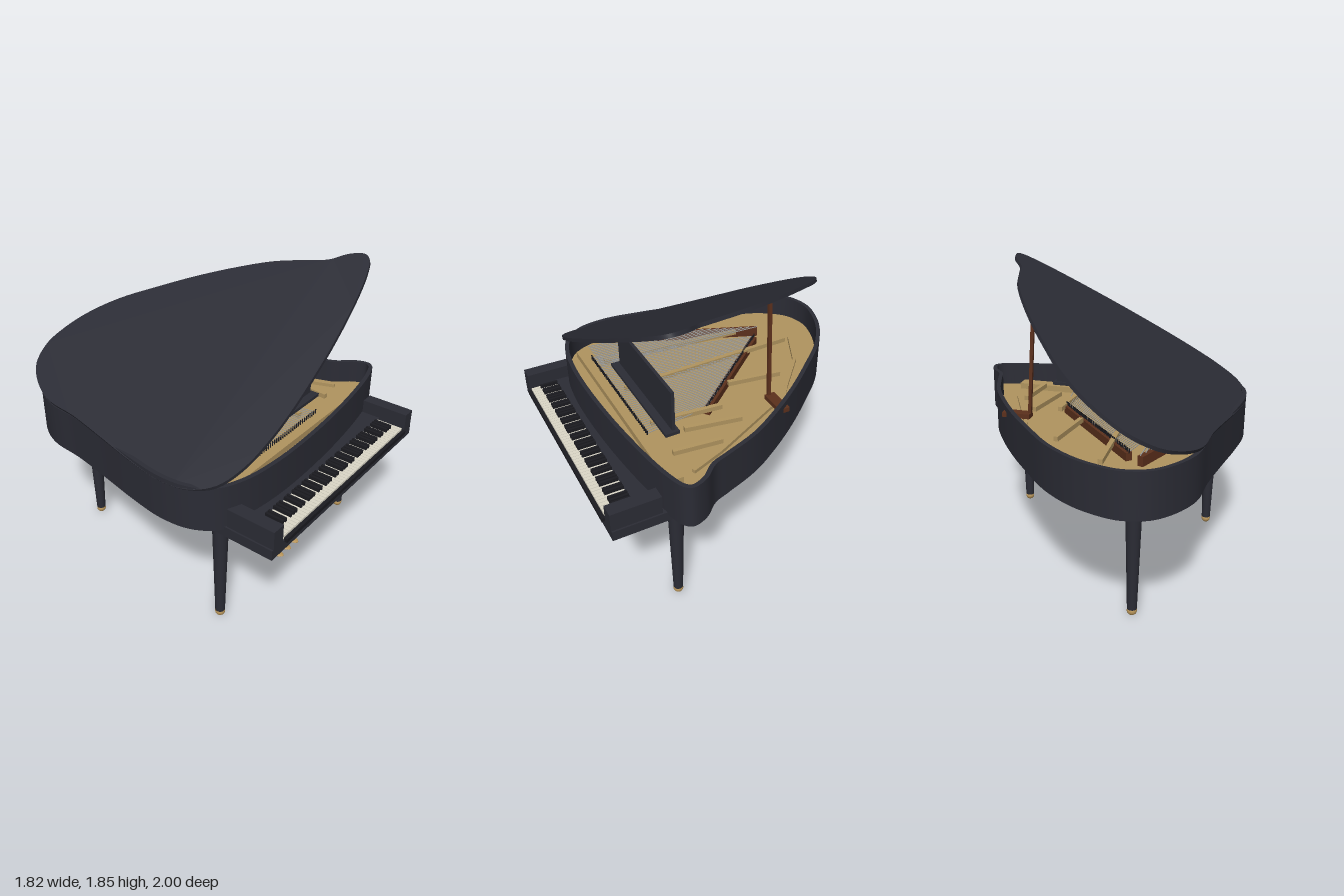
import * as THREE from 'three';
import { mergeGeometries, toCreasedNormals } from 'three/addons/utils/BufferGeometryUtils.js';

const mat = (name, color) => Object.assign(new THREE.MeshStandardMaterial({ color }), { name });
const ebony = mat('ebony lacquer', 0x2b2c35);
const black = mat('black key', 0x1b1b20);
const ivory = mat('ivory key', 0xdcd8c8);
const spruce = mat('golden spruce', 0xb0945f);
const brass = mat('brass', 0xb8955a);
const wood = mat('brown wood', 0x5c301c);
const steel = mat('steel string', 0x9a9a98);

// Plan outline of the case as x, z pairs
const PLAN = [
  [-0.43, -1], [-0.58, -0.955], [-0.69, -0.84], [-0.77, -0.67], [-0.795, -0.42], [-0.84, -0.15],
  [-0.885, 0.1], [-0.913, 0.35], [-0.885, 0.53], [-0.8, 0.655], [-0.65, 0.725], [-0.45, 0.757],
  [-0.2, 0.765], [0.2, 0.745], [0.6, 0.695], [0.8, 0.65], [0.88, 0.615], [0.908, 0.57], [0.88, 0.48],
  [0.8, 0.385], [0.765, 0.29], [0.68, 0.06], [0.555, -0.155], [0.4, -0.375], [0.24, -0.57],
  [0.06, -0.77], [-0.13, -0.91], [-0.3, -0.98],
];

// Smooth outline moved inwards by the given distance
function outline(inset = 0) {
  const curve = new THREE.CatmullRomCurve3(PLAN.map(([x, z]) => new THREE.Vector3(x, -z, 0)), true);
  const n = 140, pts = [];
  for (let i = 0; i < n; i++) {
    const p = curve.getPoint(i / n), t = curve.getTangent(i / n);
    pts.push(new THREE.Vector2(p.x - t.y * inset, p.y + t.x * inset));
  }
  return pts;
}

// Horizontal slab in the case outline, from y0 up to y1
function slab(y0, y1, inset, wall = 0) {
  const shape = new THREE.Shape(outline(inset));
  if (wall) shape.holes.push(new THREE.Path(outline(inset + wall)));
  const g = new THREE.ExtrudeGeometry(shape, { depth: y1 - y0, bevelEnabled: false });
  g.rotateX(-Math.PI / 2).translate(0, y0, 0);
  return toCreasedNormals(g, 0.6);
}

const V = (x, y, z) => new THREE.Vector3(x, y, z);

// Box given by its limits on each axis
const box = (x0, x1, y0, y1, z0, z1) =>
  new THREE.BoxGeometry(x1 - x0, y1 - y0, z1 - z0).translate((x0 + x1) / 2, (y0 + y1) / 2, (z0 + z1) / 2);

// Bar of rectangular section between two points
function bar(a, b, w, h = w) {
  const g = new THREE.BoxGeometry(w, h, a.distanceTo(b));
  const m = new THREE.Matrix4().lookAt(b, a, V(0.01, 1, 0)).setPosition(a.clone().add(b).multiplyScalar(0.5));
  return g.applyMatrix4(m);
}

export function createModel() {
  const piano = new THREE.Group();
  piano.name = 'grandPiano';
  const add = (name, geometry, material, parent = piano) => {
    const mesh = new THREE.Mesh(geometry, material);
    mesh.name = name;
    parent.add(mesh);
    return mesh;
  };

  // Case
  add('rim', slab(0.767, 1.044, 0, 0.026), ebony);
  add('bottomBoard', slab(0.77, 0.79, 0.015), wood);
  add('soundboard', slab(0.87, 0.895, 0.015), spruce);

  // Raised lid, hinged along the left side
  const lid = new THREE.Group();
  lid.name = 'lid';
  lid.position.set(-0.83, 1.035, 0);
  lid.rotation.z = 0.478;
  add('lidPanel', slab(0, 0.022, 0).translate(0.83, 0, 0), ebony, lid);
  piano.add(lid);

  // Lid prop and its foot
  add('lidProp', bar(V(0.343, 1.0, -0.22), V(0.306, 1.622, -0.22), 0.02), wood);
  add('propFoot', box(0.335, 0.512, 0.975, 1.005, -0.262, -0.195), wood);

  // Bridges, strings and tuning pins
  const treble = [V(-0.36, 0.92, -0.53), V(0.22, 0.92, 0.14)];
  const bass = [V(-0.7, 0.93, 0.05), V(-0.44, 0.93, -0.6)];
  add('trebleBridge', bar(...treble, 0.04, 0.05), wood);
  add('bassBridge', bar(...bass, 0.035, 0.06), wood);
  const strings = [], pins = [];
  for (let i = 0; i < 44; i++) {
    const p = treble[0].clone().lerp(treble[1], i / 43).setY(0.95);
    const front = V(-0.62 + i * 0.021, 0.95, 0.56);
    strings.push(bar(p, front, 0.004));
    for (const q of [p, front])
      pins.push(new THREE.CylinderGeometry(0.004, 0.004, 0.03, 6).translate(q.x, 0.955, q.z));
  }
  for (let i = 0; i < 14; i++) {
    const p = bass[0].clone().lerp(bass[1], i / 13).setY(0.965);
    strings.push(bar(p, V(-0.74 + i * 0.02, 0.965, 0.54), 0.005));
  }
  add('strings', mergeGeometries(strings), steel);
  add('tuningPins', mergeGeometries(pins), black);
  add('pinBlock', box(-0.76, 0.7, 0.89, 0.935, 0.53, 0.62), spruce);

  // Frame struts over the soundboard
  const struts = [
    [-0.55, 0.5, -0.48, -0.45], [-0.2, 0.5, -0.24, -0.7], [0.05, -0.1, 0.1, -0.45],
    [0.2, 0.5, 0.24, 0.05], [0.34, 0.35, 0.4, 0.0], [0.5, 0.5, 0.53, 0.2],
  ].map(([x0, z0, x1, z1]) => bar(V(x0, 0.945, z0), V(x1, 0.945, z1), 0.028, 0.03));
  add('frameStruts', mergeGeometries(struts), spruce);
  const edge = [[-0.25, -0.75], [0.0, -0.63], [0.24, -0.41], [0.33, -0.34], [0.38, -0.2], [0.6, 0.25], [0.68, 0.46]];
  const edgeBars = edge.slice(1).map(([x, z], i) =>
    bar(V(edge[i][0], 0.93, edge[i][1]), V(x, 0.93, z), 0.022));
  add('frameEdge', mergeGeometries(edgeBars), spruce);

  // Music desk
  add('musicDesk', box(-0.397, 0.39, 1.0, 1.266, 0.43, 0.45), ebony);
  add('deskShelf', box(-0.42, 0.41, 0.985, 1.005, 0.41, 0.5), ebony);

  // Key bed
  add('keyBed', box(-0.775, 0.765, 0.722, 0.785, 0.62, 0.982), ebony);
  add('keySlip', box(-0.665, 0.66, 0.776, 0.8, 0.978, 1.0), black);
  add('fallBoard', box(-0.685, 0.675, 0.78, 0.815, 0.68, 0.808), ebony);
  for (const [x0, x1] of [[-0.765, -0.682], [0.672, 0.755]])
    add('cheekBlock', box(x0, x1, 0.775, 0.9, 0.685, 0.985), ebony);

  // Keys: 52 white, 36 black
  const white = [], dark = [], pitch = 1.32 / 52;
  for (let i = 0; i < 52; i++) {
    const x = -0.665 + i * pitch;
    white.push(box(x + 0.0015, x + pitch - 0.0015, 0.78, 0.812, 0.808, 0.977));
    if (i < 51 && [0, 2, 3, 5, 6].includes(i % 7))
      dark.push(box(x + pitch - 0.0075, x + pitch + 0.0075, 0.8, 0.835, 0.808, 0.922));
  }
  add('whiteKeys', mergeGeometries(white), ivory);
  add('blackKeys', mergeGeometries(dark), black);

  // Tapered legs on brass feet
  for (const [x, z] of [[-0.675, 0.57], [0.667, 0.57], [-0.43, -0.69]]) {
    add('leg', new THREE.CylinderGeometry(0.05, 0.029, 0.73, 28).translate(x, 0.41, z), ebony);
    add('foot', new THREE.SphereGeometry(0.03, 24, 16).translate(x, 0.032, z), brass);
  }

  // Pedal lyre
  for (const x of [-0.117, 0.108])
    add('lyrePost', bar(V(x, 0.15, 0.44), V(x, 0.775, 0.398), 0.036), ebony);
  add('pedalBox', box(-0.157, 0.148, 0.122, 0.178, 0.39, 0.493), ebony);
  for (const x of [-0.09, -0.005, 0.08]) {
    const path = new THREE.CatmullRomCurve3(
      [V(x, 0.16, 0.36), V(x, 0.115, 0.43), V(x, 0.08, 0.49), V(x, 0.073, 0.56)]);
    add('pedalRod', new THREE.TubeGeometry(path, 16, 0.009, 8), brass);
    add('pedal', new THREE.SphereGeometry(1, 20, 12).scale(0.03, 0.009, 0.06).translate(x, 0.073, 0.562), brass);
  }
  return piano;
}
